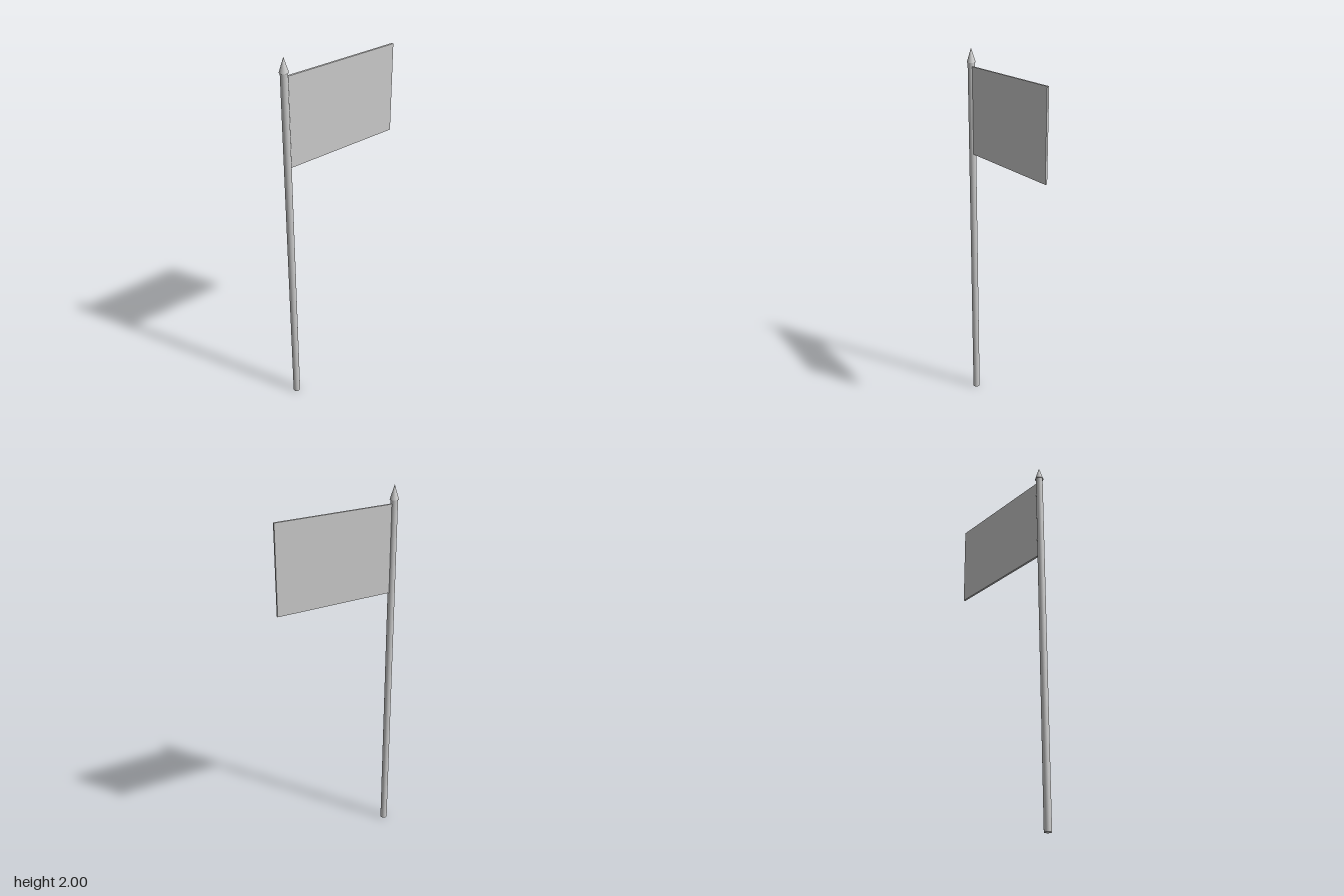
import * as THREE from 'three';

export function createModel() {
  const group = new THREE.Group();
  const material = new THREE.MeshStandardMaterial({ color: 0xcccccc });
  const poleZ = 0.316, poleTop = 1.927;

  function add(name, geometry, y, z) {
    const mesh = new THREE.Mesh(geometry, material);
    mesh.name = name;
    mesh.position.set(0, y, z);
    group.add(mesh);
  }

  // Round pole standing on the ground
  add('pole', new THREE.CylinderGeometry(0.0185, 0.0185, poleTop, 32), poleTop / 2, poleZ);

  // Pointed tip, slightly wider than the pole
  const tipHeight = 2 - poleTop;
  add('finial', new THREE.ConeGeometry(0.023, tipHeight, 32), poleTop + tipHeight / 2, poleZ);

  // Flat stiff flag, reaching backwards from just inside the pole
  const flagFront = 0.305, flagBack = -0.339, flagBottom = 1.445, flagTop = 1.907;
  add(
    'flag',
    new THREE.BoxGeometry(0.011, flagTop - flagBottom, flagFront - flagBack),
    (flagTop + flagBottom) / 2,
    (flagFront + flagBack) / 2
  );

  return group;
}
